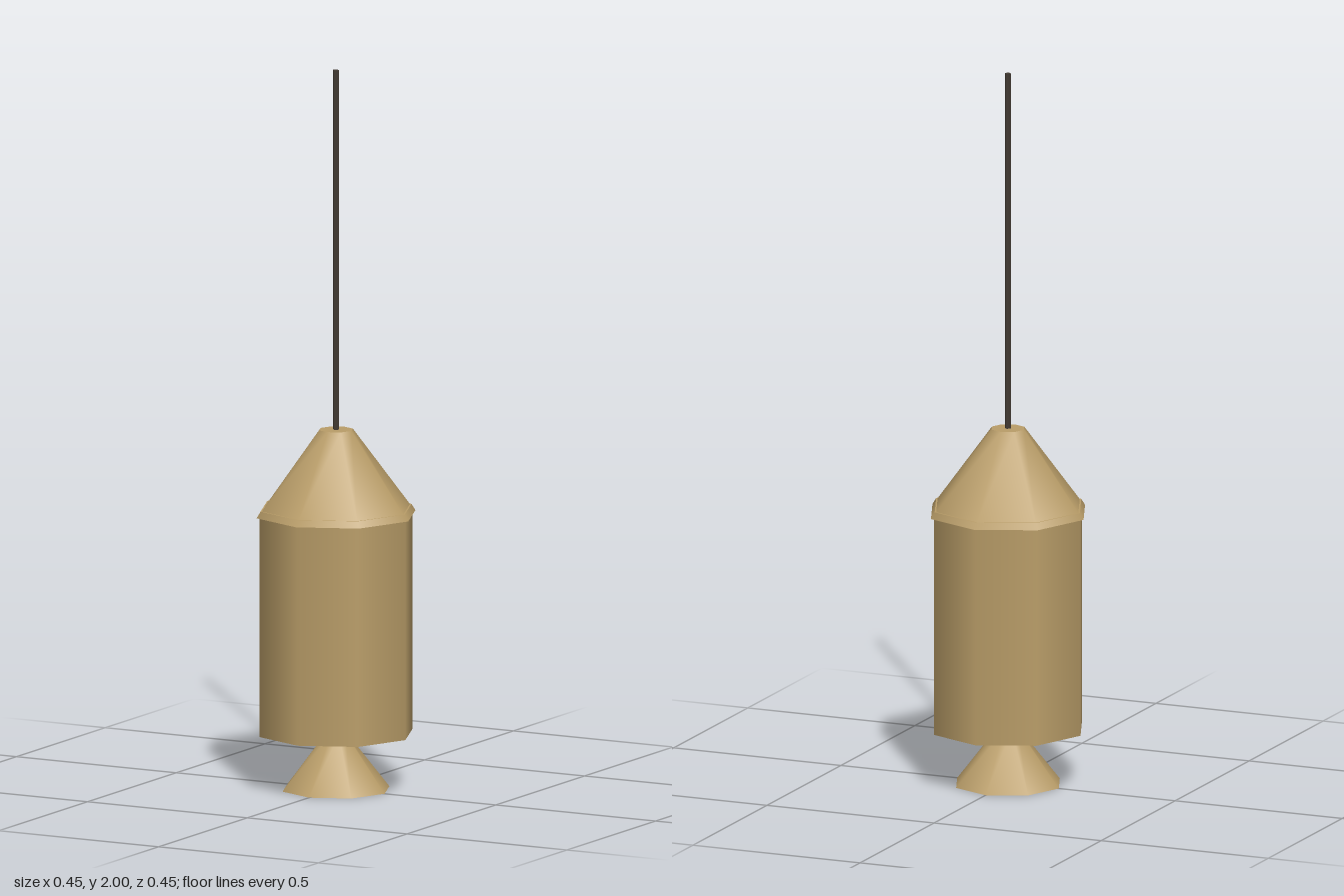
import * as THREE from 'three';

export function createModel() {
  const model = new THREE.Group();
  const brass = new THREE.MeshStandardMaterial({ color: 0xb99d68 });
  brass.name = 'brass';
  const darkMetal = new THREE.MeshStandardMaterial({ color: 0x463e36 });
  darkMetal.name = 'dark metal';

  // Faceted, smooth-shaded frustum standing between two heights
  function frustum(name, y0, y1, r0, r1, sides, material) {
    const geometry = new THREE.CylinderGeometry(r1, r0, y1 - y0, sides);
    const mesh = new THREE.Mesh(geometry, material);
    mesh.name = name;
    mesh.position.y = (y0 + y1) / 2;
    model.add(mesh);
  }

  // Flared foot, octagonal housing, rim and tapered cap
  frustum('foot', 0, 0.155, 0.152, 0.03, 8, brass);
  frustum('housing', 0.155, 0.766, 0.217, 0.217, 8, brass);
  frustum('rim', 0.764, 0.782, 0.226, 0.215, 8, brass);
  frustum('cap', 0.78, 1, 0.212, 0.048, 8, brass);

  // Hanging rod
  frustum('rod', 1, 2, 0.009, 0.009, 4, darkMetal);

  return model;
}
